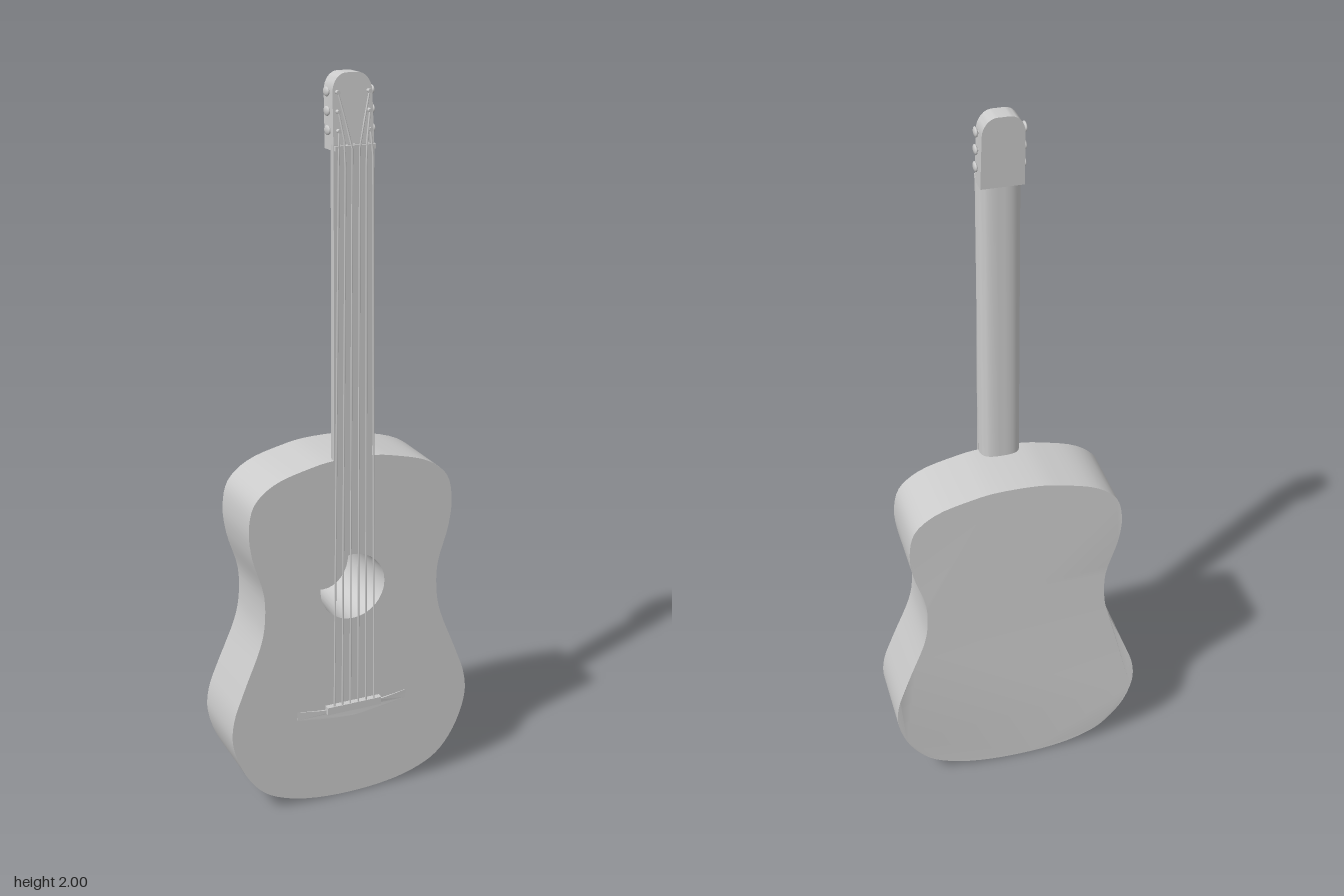
import * as THREE from 'three';
import { toCreasedNormals } from 'three/addons/utils/BufferGeometryUtils.js';

const FRONT = 0.095, BACK = -0.105, HOLE_Y = 0.64, HOLE_R = 0.095;
const grey = new THREE.MeshStandardMaterial({ color: 0xcccccc });
const greyDouble = new THREE.MeshStandardMaterial({ color: 0xcccccc, side: THREE.DoubleSide });

function add(parent, name, geometry, material = grey) {
  const mesh = new THREE.Mesh(geometry, material);
  mesh.name = name;
  parent.add(mesh);
  return mesh;
}

function box(parent, name, w, h, d, x, y, z) {
  const mesh = add(parent, name, new THREE.BoxGeometry(w, h, d));
  mesh.position.set(x, y, z);
  return mesh;
}

// Moves each vertex of a geometry by a rule
function reshape(geometry, rule) {
  const p = geometry.attributes.position, v = new THREE.Vector3();
  for (let i = 0; i < p.count; i++) {
    rule(v.fromBufferAttribute(p, i));
    p.setXYZ(i, v.x, v.y, v.z);
  }
  return geometry;
}

// Closed smooth outline, mirrored from its right half (bottom to top)
function mirroredOutline(half, samples) {
  const all = [...half, ...half.slice().reverse().map(([x, y]) => [-x, y])];
  const curve = new THREE.CatmullRomCurve3(all.map(([x, y]) => new THREE.Vector3(x, y, 0)), true);
  return new THREE.Shape(curve.getPoints(samples).slice(0, -1).map(p => new THREE.Vector2(p.x, p.y)));
}

function bodyGeometry() {
  const shape = mirroredOutline([
    [0.08, 0.002], [0.19, 0.023], [0.265, 0.06], [0.32, 0.13], [0.354, 0.23], [0.35, 0.3],
    [0.32, 0.385], [0.27, 0.51], [0.257, 0.57], [0.257, 0.66], [0.288, 0.77], [0.296, 0.85],
    [0.28, 0.92], [0.225, 0.968], [0.12, 1.0], [0.06, 1.01]], 128);
  const hole = new THREE.Path();
  hole.absarc(0, HOLE_Y, HOLE_R, 0, Math.PI * 2, true);
  shape.holes.push(hole);
  const g = new THREE.ExtrudeGeometry(shape, { depth: FRONT - BACK, bevelEnabled: false, curveSegments: 16 });
  g.translate(0, 0, BACK);
  // The well narrows inwards and the back flares a little at the lower bout
  reshape(g, v => {
    if (v.z > 0) return;
    if (Math.hypot(v.x, v.y - HOLE_Y) < HOLE_R + 0.01) v.x *= 0.8;
    else v.z -= 0.008 * THREE.MathUtils.smoothstep(Math.abs(v.x), 0.28, 0.355);
  });
  return toCreasedNormals(g, 0.6);
}

// D-shaped neck: flat playing face, rounded back
function neckGeometry() {
  const s = new THREE.Shape();
  s.moveTo(-0.055, 0);
  s.lineTo(-0.055, 0.015);
  s.bezierCurveTo(-0.05, 0.045, -0.025, 0.047, 0, 0.047);
  s.bezierCurveTo(0.025, 0.047, 0.05, 0.045, 0.055, 0.015);
  s.lineTo(0.055, 0);
  const g = new THREE.ExtrudeGeometry(s, { depth: 0.83, bevelEnabled: false, curveSegments: 10 });
  g.rotateX(-Math.PI / 2);
  g.translate(0, 1.0, FRONT);
  return toCreasedNormals(g, 0.7);
}

// Headstock leans back towards its tip
const headFront = y => 0.094 - (y - 1.815) * 0.075;

function headGeometry() {
  const s = new THREE.Shape();
  s.moveTo(-0.055, 1.815);
  s.lineTo(0.055, 1.815);
  s.lineTo(0.053, 1.955);
  s.bezierCurveTo(0.052, 1.98, 0.035, 2.0, 0.015, 2.0);
  s.lineTo(-0.015, 2.0);
  s.bezierCurveTo(-0.035, 2.0, -0.052, 1.98, -0.053, 1.955);
  const g = new THREE.ExtrudeGeometry(s, { depth: 0.054, bevelEnabled: false, curveSegments: 8 });
  reshape(g, v => { v.z += headFront(v.y) - 0.054; });
  return toCreasedNormals(g, 0.6);
}

// Curved bridge wing plate, thinning towards its tips
function bridgeGeometry() {
  const s = new THREE.Shape();
  s.moveTo(-0.165, 0.265);
  s.quadraticCurveTo(0, 0.235, 0.165, 0.265);
  s.lineTo(0.165, 0.29);
  s.quadraticCurveTo(0, 0.262, -0.165, 0.29);
  const g = new THREE.ExtrudeGeometry(s, { depth: 0.01, bevelEnabled: false, curveSegments: 16 });
  reshape(g, v => {
    v.z = FRONT - 0.002 + (v.z > 0 ? 0.003 + 0.008 * (1 - Math.abs(v.x) / 0.165) : 0);
  });
  return toCreasedNormals(g, 0.5);
}

export function createModel() {
  const guitar = new THREE.Group();
  guitar.name = 'acousticGuitar';

  add(guitar, 'body', bodyGeometry());
  const floor = add(guitar, 'soundHoleFloor', new THREE.CircleGeometry(HOLE_R, 32), greyDouble);
  floor.scale.x = 0.8;
  floor.position.set(0, HOLE_Y, BACK);

  add(guitar, 'neck', neckGeometry());
  add(guitar, 'headstock', headGeometry());
  box(guitar, 'nut', 0.108, 0.012, 0.012, 0, 1.822, 0.098);
  add(guitar, 'bridge', bridgeGeometry());
  box(guitar, 'saddle', 0.162, 0.022, 0.018, 0, 0.281, 0.103);

  // Strings run from saddle over the nut to their posts, three on each side
  for (const side of [-1, 1]) {
    for (let i = 0; i < 3; i++) {
      const pegY = 1.955 - i * 0.046;
      const postX = side * 0.042, z = headFront(pegY);
      const points = [
        [side * (0.012 + i * 0.024), 0.285, 0.108],
        [side * (0.01 + i * 0.018), 1.825, 0.106],
        [postX, pegY, z + 0.008]].map(p => new THREE.Vector3(...p));
      const path = new THREE.CurvePath();
      path.add(new THREE.LineCurve3(points[0], points[1]));
      path.add(new THREE.LineCurve3(points[1], points[2]));
      add(guitar, 'string', new THREE.TubeGeometry(path, 24, 0.0025, 6, false), greyDouble);

      const tuner = new THREE.Group();
      tuner.name = 'tuner';
      const post = add(tuner, 'tunerPost', new THREE.CylinderGeometry(0.005, 0.005, 0.016, 10));
      post.rotation.x = Math.PI / 2;
      post.position.set(postX, pegY, z + 0.005);
      const shaft = add(tuner, 'tunerShaft', new THREE.CylinderGeometry(0.004, 0.004, 0.016, 8));
      shaft.rotation.z = Math.PI / 2;
      shaft.position.set(side * 0.054, pegY, z - 0.025);
      const knob = add(tuner, 'tunerKnob', new THREE.SphereGeometry(1, 12, 8));
      knob.scale.set(0.005, 0.012, 0.017);
      knob.position.set(side * 0.06, pegY, z - 0.022);
      guitar.add(tuner);
    }
  }
  return guitar;
}
